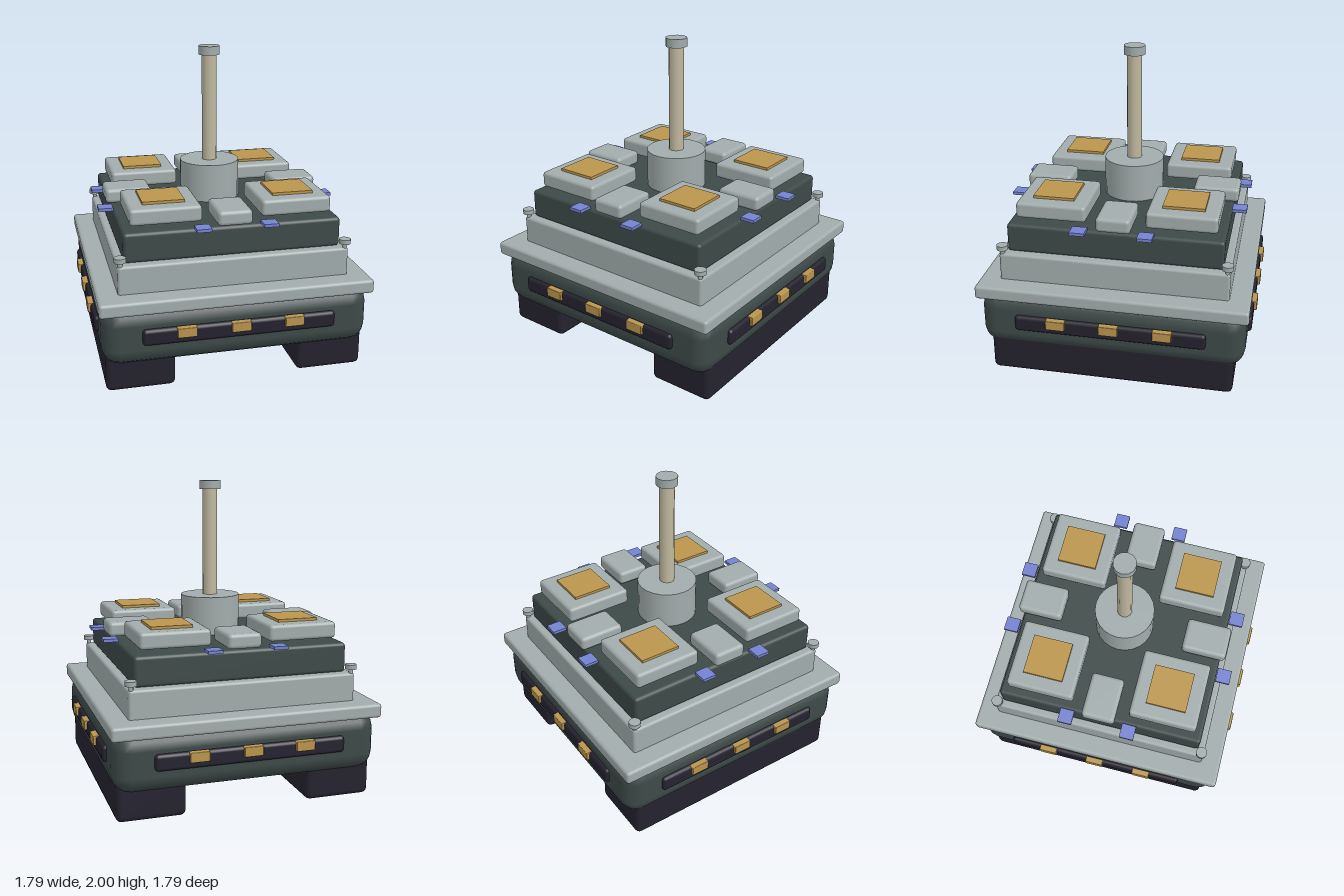
import * as THREE from 'three';
import { RoundedBoxGeometry } from 'three/addons/geometries/RoundedBoxGeometry.js';

const mat = (name, color) => {
  const m = new THREE.MeshStandardMaterial({ color });
  m.name = name;
  return m;
};

export function createModel() {
  const model = new THREE.Group();
  model.name = 'armouredVehicle';

  const hullGreen = mat('dark green grey', 0x3d4a48);
  const plateGrey = mat('light grey', 0xa2acac);
  const trackBlack = mat('near black', 0x24222e);
  const gold = mat('gold', 0xba954c);
  const blue = mat('blue', 0x7482d0);
  const tan = mat('tan', 0xc0b9a0);

  const add = (parent, name, geometry, material, x, y, z) => {
    const mesh = new THREE.Mesh(geometry, material);
    mesh.name = name;
    mesh.position.set(x, y, z);
    parent.add(mesh);
    return mesh;
  };
  // Bevelled box given by size, base height and centre
  const block = (parent, name, material, [w, h, d], [x, y0, z], bevel = 0.02, segments = 2) =>
    add(parent, name, new RoundedBoxGeometry(w, h, d, segments, bevel), material, x, y0 + h / 2, z);
  // Upright cylinder given by radius and bottom and top heights
  const post = (parent, name, material, r, y0, y1, x, z, sides) =>
    add(parent, name, new THREE.CylinderGeometry(r, r, y1 - y0, sides), material, x, (y0 + y1) / 2, z);

  // Stacked body
  block(model, 'hull', hullGreen, [1.7, 0.38, 1.7], [0, 0.185, 0], 0.11);
  block(model, 'deckSlab', plateGrey, [1.735, 0.09, 1.735], [0, 0.53, 0], 0.02);
  block(model, 'middleTier', plateGrey, [1.47, 0.2, 1.47], [0, 0.6, 0], 0.018);
  block(model, 'upperTier', hullGreen, [1.38, 0.19, 1.38], [0, 0.8, 0], 0.022);

  // Tracks
  for (const s of [-1, 1]) {
    block(model, s > 0 ? 'leftTrack' : 'rightTrack', trackBlack,
      [0.435, 0.29, 1.57], [s * 0.613, 0, 0], 0.035);
  }

  // Corner pegs and roof pods
  for (const sx of [-1, 1]) {
    for (const sz of [-1, 1]) {
      post(model, 'pegStem', plateGrey, 0.015, 0.79, 0.83, sx * 0.715, sz * 0.715, 8);
      post(model, 'pegHead', plateGrey, 0.037, 0.825, 0.855, sx * 0.715, sz * 0.715, 16);
      block(model, 'roofPod', plateGrey, [0.45, 0.105, 0.45], [sx * 0.415, 1.015, sz * 0.415], 0.022);
      add(model, 'podPanel', new THREE.BoxGeometry(0.266, 0.025, 0.266), gold,
        sx * 0.415, 1.125, sz * 0.415);
    }
  }

  // Fittings repeated on all four sides
  for (let i = 0; i < 4; i++) {
    const side = new THREE.Group();
    side.name = 'sideFittings';
    side.rotation.y = (i * Math.PI) / 2;
    model.add(side);
    block(side, 'lampStrip', trackBlack, [1.22, 0.105, 0.06], [0, 0.33, 0.845], 0.022);
    for (const x of [-0.34, 0, 0.34]) {
      block(side, 'lamp', gold, [0.122, 0.063, 0.04], [x, 0.372, 0.873], 0.005, 1);
    }
    block(side, 'roofBox', plateGrey, [0.22, 0.095, 0.3], [0, 1.0, 0.57], 0.025);
    for (const x of [-0.21, 0.21]) {
      add(side, 'edgePlate', new THREE.BoxGeometry(0.094, 0.02, 0.094), blue, x, 1.007, 0.738);
    }
  }

  // Central drum and mast
  post(model, 'drum', plateGrey, 0.197, 0.985, 1.24, 0, 0, 24);
  post(model, 'mast', tan, 0.05, 1.23, 1.95, 0, 0, 12);
  post(model, 'mastCap', plateGrey, 0.071, 1.943, 2.0, 0, 0, 12);

  return model;
}
